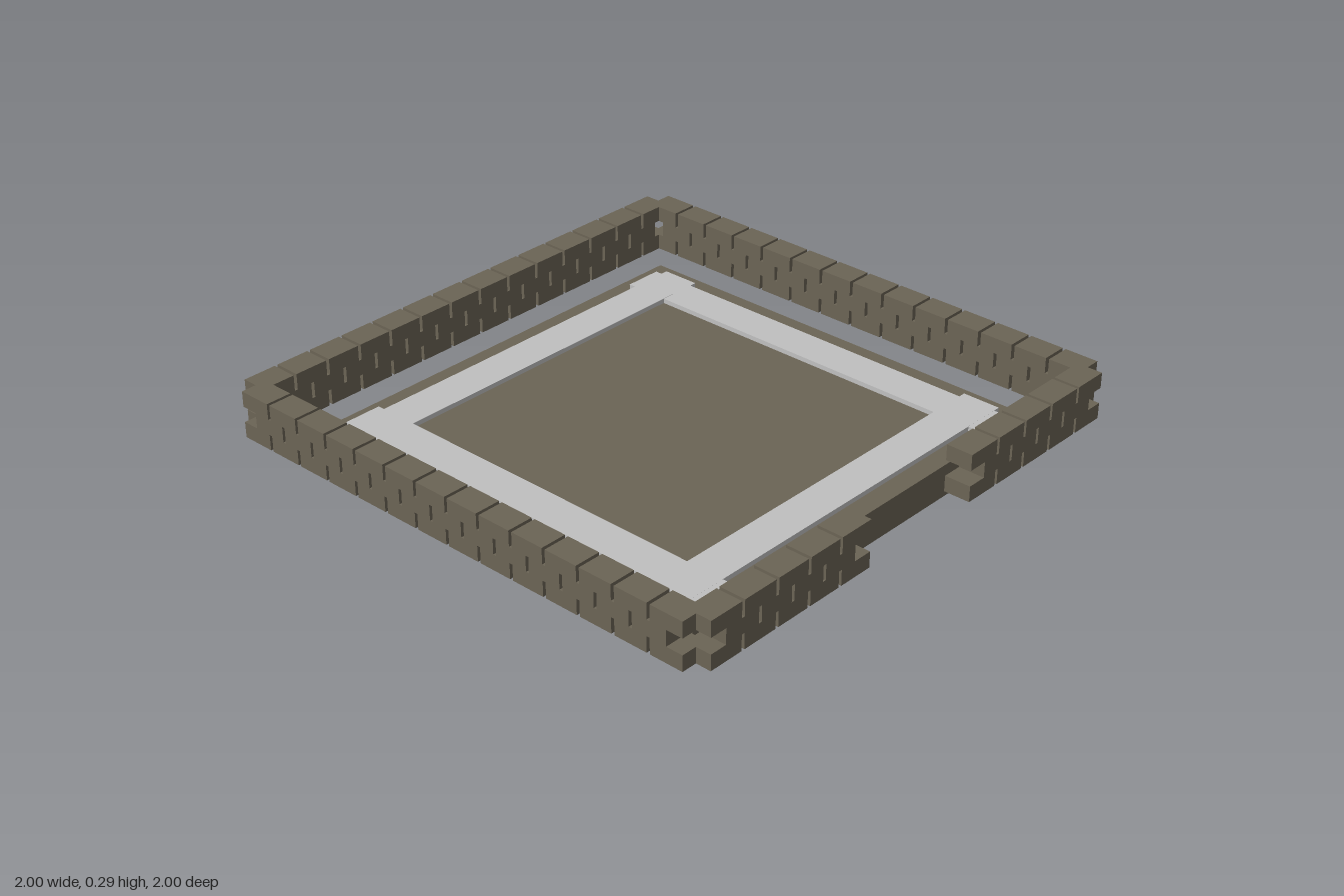
import * as THREE from 'three';

const stone = new THREE.MeshStandardMaterial({ color: 0x6b6455 });
stone.name = 'brown stone';
const pale = new THREE.MeshStandardMaterial({ color: 0xc0c0c0 });
pale.name = 'pale grey';

const WALL_BOTTOM = 0.12, ROW = 0.056, GAP = 0.012;
const INNER = 0.905, OUTER = 1;

// Box given by its minimum and maximum corners
function block(name, material, x0, x1, y0, y1, z0, z1) {
  const mesh = new THREE.Mesh(new THREE.BoxGeometry(x1 - x0, y1 - y0, z1 - z0), material);
  mesh.position.set((x0 + x1) / 2, (y0 + y1) / 2, (z0 + z1) / 2);
  mesh.name = name;
  return mesh;
}

// One wall along x at the +z side: outer rows share joints, the middle row is staggered
function wall(name, outerJoints, middleJoints) {
  const group = new THREE.Group();
  group.name = name;
  [outerJoints, middleJoints, outerJoints].forEach((joints, row) => {
    const y = WALL_BOTTOM + row * ROW;
    for (let i = 0; i < joints.length - 1; i++) {
      const x0 = joints[i] + (i > 0 ? GAP / 2 : 0);
      const x1 = joints[i + 1] - (i < joints.length - 2 ? GAP / 2 : 0);
      group.add(block('brick', stone, x0, x1, y, y + ROW, INNER, OUTER));
    }
  });
  return group;
}

export function createModel() {
  const model = new THREE.Group();
  model.name = 'walledPlatform';

  // Floor slab
  model.add(block('floorSlab', stone, -0.81, 0.81, 0, 0.117, -0.81, 0.81));

  // Crossing pale strips laid on the slab
  for (const s of [-1, 1]) {
    const a = Math.min(s * 0.597, s * 0.737), b = Math.max(s * 0.597, s * 0.737);
    model.add(block('crossStrip', pale, -0.763, 0.763, 0.117, 0.134, a, b));
    model.add(block('sideStrip', pale, a, b, 0.117, 0.1338, -0.763, 0.763));
  }

  // Full walls: back and both sides
  const pitch = 0.136;
  const outer = [-0.945], middle = [];
  for (let k = -6; k <= 6; k++) outer.push(k * pitch);
  outer.push(0.945);
  for (let k = -6.5; k <= 6.5; k++) middle.push(k * pitch);
  [['rightWall', -Math.PI / 2], ['backWall', Math.PI], ['leftWall', Math.PI / 2]].forEach(([name, turn]) => {
    const w = wall(name, outer, middle);
    w.rotation.y = turn;
    model.add(w);
  });

  // Front wall in two halves, leaving the entrance open
  const frontOuter = [0.245, 0.382, 0.523, 0.664, 0.81, 0.945];
  const frontMiddle = [0.316, 0.455, 0.595, 0.737, 0.882];
  const mirrored = (list) => list.map((v) => -v).reverse();
  model.add(wall('frontWallLeft', frontOuter, frontMiddle));
  model.add(wall('frontWallRight', mirrored(frontOuter), mirrored(frontMiddle)));

  return model;
}
